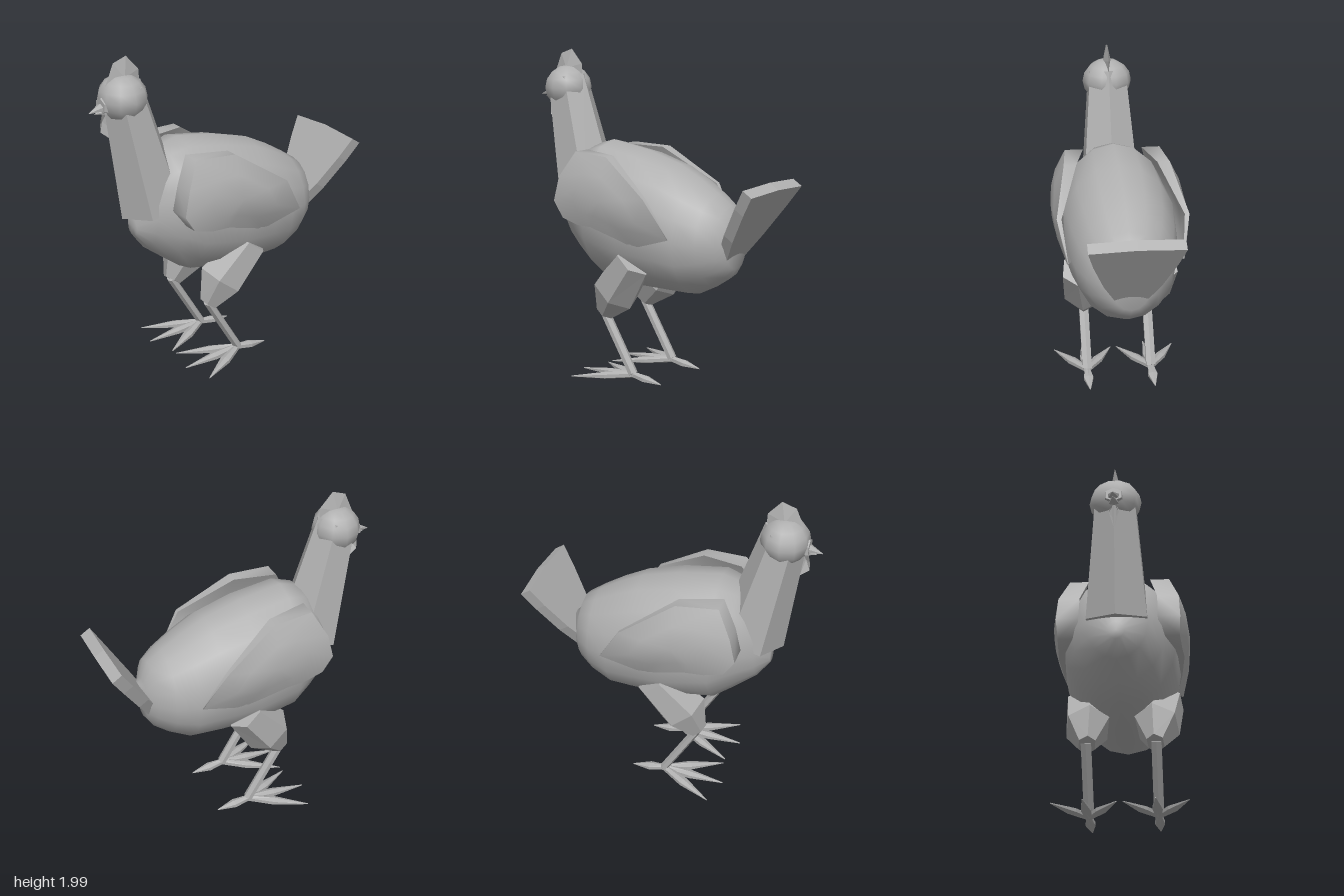
import * as THREE from 'three';

const grey = new THREE.MeshStandardMaterial({ color: 0xb0b0b0 });
grey.name = 'plain grey';

function build(points, index, smooth) {
  let g = new THREE.BufferGeometry();
  g.setAttribute('position', new THREE.Float32BufferAttribute(points.flat(), 3));
  g.setIndex(index);
  if (!smooth) g = g.toNonIndexed();
  g.computeVertexNormals();
  return g;
}

// Loft through rings [x, y, z, rSide, rUp] set square to the line from first to last
function loft(rings, n, smooth = false) {
  const centre = r => new THREE.Vector3(r[0], r[1], r[2]);
  const last = rings.length - 1;
  const d = centre(rings[last]).sub(centre(rings[0])).normalize();
  const u = new THREE.Vector3(0, 1, 0).cross(d).normalize();
  const w = d.clone().cross(u);
  const points = [], index = [];
  for (const r of rings) {
    for (let k = 0; k < n; k++) {
      const a = Math.PI / 2 + k * 2 * Math.PI / n;
      const p = centre(r).addScaledVector(u, Math.cos(a) * r[3])
        .addScaledVector(w, Math.sin(a) * (r[4] ?? r[3]));
      points.push(p.toArray());
    }
  }
  const start = points.length;
  points.push(rings[0].slice(0, 3), rings[last].slice(0, 3));
  for (let k = 0; k < n; k++) {
    const j = (k + 1) % n;
    for (let i = 0; i < last; i++) {
      const a = i * n, b = a + n;
      index.push(a + k, a + j, b + j, a + k, b + j, b + k);
    }
    index.push(start, j, k, start + 1, last * n + k, last * n + j);
  }
  return build(points, index, smooth);
}

// Flat lens: outline of [z, y] running counter-clockwise seen from -x, with a peak on each side
function lens(outline, [cz, cy], half) {
  const n = outline.length, index = [];
  const points = outline.map(([z, y]) => [0, y, z]);
  points.push([half, cy, cz], [-half, cy, cz]);
  for (let k = 0; k < n; k++) {
    const j = (k + 1) % n;
    index.push(n, j, k, n + 1, k, j);
  }
  return build(points, index, false);
}

// Wing: curved outer skin, matching inner skin and a rim that thins to the rear
function wingGeometry() {
  const outline = [[0.365, 1.405], [0.11, 1.395], [-0.22, 1.18], [-0.36, 0.95], [-0.1, 0.87],
    [0.03, 0.92], [0.19, 0.97], [0.3, 0.97], [0.42, 1.0], [0.485, 1.1], [0.45, 1.25]];
  const n = outline.length, c = [0.1, 1.14];
  const outer = (z, y) => 0.41 - 1.2 * (y - 1.13) ** 2 - (z > 0.1 ? 0.3 : 0.1) * (z - 0.1) ** 2;
  const inner = (z, y) => outer(z, y) - 0.008 - 0.12 * (z + 0.36) / 0.82;
  const points = [], index = [];
  for (const [side, flip] of [[outer, false], [inner, true]]) {
    const o = points.length;
    for (const s of [1, 0.55]) {
      for (const p of outline) {
        const z = c[0] + (p[0] - c[0]) * s, y = c[1] + (p[1] - c[1]) * s;
        points.push([side(z, y), y, z]);
      }
    }
    points.push([side(...c), c[1], c[0]]);
    for (let k = 0; k < n; k++) {
      const j = (k + 1) % n;
      const tris = [[k, n + j, j], [k, n + k, n + j], [n + k, 2 * n, n + j]];
      for (const [a, b, e] of tris) index.push(o + a, o + (flip ? b : e), o + (flip ? e : b));
    }
  }
  // Rim has its own corners so its edge stays sharp
  const o = points.length, m = 2 * n + 1;
  for (let k = 0; k < n; k++) points.push(points[k]);
  for (let k = 0; k < n; k++) points.push(points[m + k]);
  for (let k = 0; k < n; k++) {
    const j = (k + 1) % n;
    index.push(o + k, o + n + j, o + j, o + k, o + n + k, o + n + j);
  }
  // Turn the triangles if the outer skin faces inward
  const [p, q, r] = index.slice(0, 3).map(i => new THREE.Vector3(...points[i]));
  if (q.sub(p).cross(r.sub(p)).x < 0) index.reverse();
  return build(points, index, true);
}

export function createModel() {
  const model = new THREE.Group();
  model.name = 'hen';
  const add = (name, geometry, parent = model) => {
    const mesh = new THREE.Mesh(geometry, grey);
    mesh.name = name;
    parent.add(mesh);
    return mesh;
  };

  // Body from rear to front: z, bottom, top, half width
  const sections = [[-0.635, 0.82, 0.92, 0.05], [-0.61, 0.75, 1.02, 0.11], [-0.57, 0.69, 1.13, 0.18],
    [-0.48, 0.63, 1.19, 0.25], [-0.35, 0.565, 1.27, 0.3], [-0.2, 0.565, 1.345, 0.335],
    [0.03, 0.565, 1.41, 0.36], [0.3, 0.61, 1.455, 0.335], [0.42, 0.7, 1.42, 0.28],
    [0.55, 0.8, 1.26, 0.18], [0.62, 0.97, 1.08, 0.05]];
  const bodyRings = sections.map(([z, lo, hi, w]) => [0, (lo + hi) / 2, z, w, (hi - lo) / 2]);
  // Equal end heights keep every ring upright
  bodyRings[0][1] = bodyRings[bodyRings.length - 1][1] = 0.95;
  add('body', loft(bodyRings, 16, true));

  // Neck and head
  add('neck', loft([[0, 1.065, 0.49, 0.205], [0, 1.82, 0.67, 0.13]], 6));
  const head = add('head', new THREE.SphereGeometry(0.15, 10, 8));
  head.scale.set(1.03, 0.92, 0.97);
  head.position.set(0, 1.76, 0.665);
  add('comb', lens([[0.775, 1.84], [0.72, 1.97], [0.635, 2.0], [0.555, 1.91], [0.55, 1.83]],
    [0.66, 1.88], 0.027));
  add('wattle', lens([[0.8, 1.7], [0.76, 1.7], [0.755, 1.6], [0.76, 1.535], [0.815, 1.58],
    [0.815, 1.63]].reverse(), [0.785, 1.63], 0.03));
  add('beakBase', loft([[0, 1.735, 0.76, 0.065, 0.055], [0, 1.735, 0.81, 0.055, 0.045]], 6));
  add('upperBeak', loft([[0, 1.73, 0.79, 0.045, 0.028], [0, 1.705, 0.885, 0.002]], 6));
  add('lowerBeak', loft([[0, 1.7, 0.78, 0.035, 0.02], [0, 1.695, 0.85, 0.002]], 6));

  // Tail fan, leaning back
  const fan = new THREE.Shape();
  const edge = [[0.1, 0], [0.17, 0.15], [0.24, 0.36], [0.275, 0.5]];
  edge.forEach(([x, y], i) => (i ? fan.lineTo(x, y) : fan.moveTo(x, y)));
  fan.lineTo(0, 0.515);
  [...edge].reverse().forEach(([x, y]) => fan.lineTo(-x, y));
  const tail = add('tail', new THREE.ExtrudeGeometry(fan, { depth: 0.07, bevelEnabled: false })
    .translate(0, 0, -0.035));
  tail.rotation.x = -0.58;
  tail.position.set(0, 0.84, -0.58);

  // Wings and legs, the right side being a mirror of the left
  for (const [side, s] of [['left', 1], ['right', -1]]) {
    const half = new THREE.Group();
    half.name = side + 'Side';
    half.scale.x = s;
    model.add(half);
    add(side + 'Wing', wingGeometry(), half);
    add(side + 'Thigh', loft([[0.2, 0.41, 0.22, 0.055, 0.063], [0.205, 0.555, 0.13, 0.14, 0.155],
      [0.25, 0.775, -0.05, 0.115, 0.12]], 6), half);
    add(side + 'Shin', loft([[0.205, 0.05, 0, 0.034, 0.026], [0.205, 0.42, 0.225, 0.034, 0.026]], 6), half);
    const tips = [[0, 0.39], [0.185, 0.34], [-0.185, 0.34], [0, -0.21]];
    tips.forEach(([dx, dz], i) => {
      const at = (t, y, w, h) => [0.205 + dx * t, y, dz * t, w, h];
      add(side + 'Toe' + (i + 1), loft([at(-0.04, 0.045, 0.018, 0.02), at(0.45, 0.032, 0.034, 0.022),
        at(1, 0.017, 0.003, 0.003)], 6), half);
    });
  }
  return model;
}
